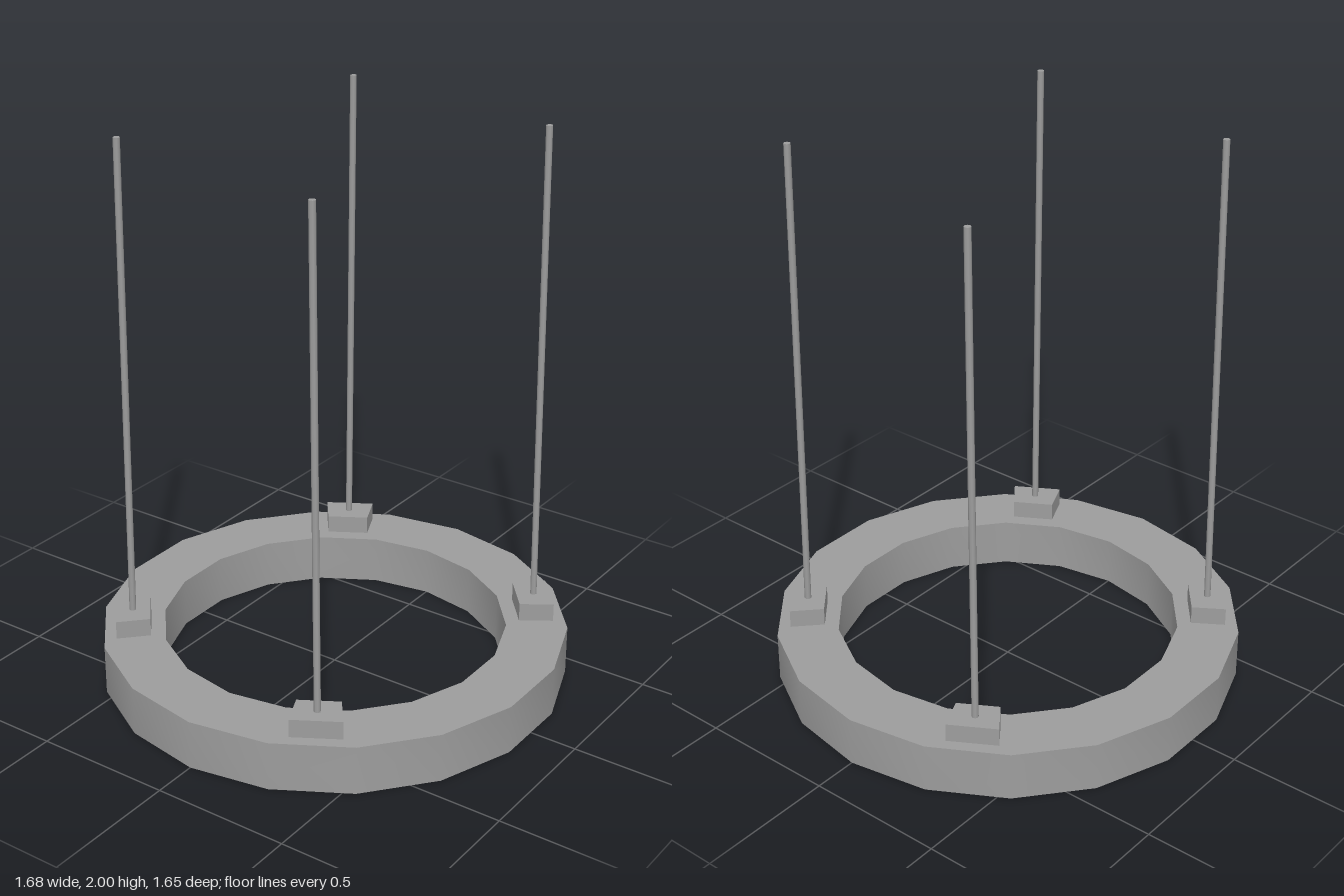
import * as THREE from 'three';
import { toCreasedNormals } from 'three/addons/utils/BufferGeometryUtils.js';

const SIDES = 18, RING_TOP = 0.18, BLOCK_TOP = 0.247, TOP = 2;
const rad = THREE.MathUtils.degToRad;

export function createModel() {
  const model = new THREE.Group();
  const material = new THREE.MeshStandardMaterial({ color: 0x9d9d9d });
  const add = (name, geometry) => {
    const mesh = new THREE.Mesh(geometry, material);
    mesh.name = name;
    model.add(mesh);
    return mesh;
  };

  // Ring body with a shallow recess underneath; smooth walls, sharp edges
  const profile = [
    [0.84, 0], [0.84, RING_TOP], [0.62, RING_TOP], [0.62, 0],
    [0.645, 0], [0.645, 0.02], [0.81, 0.02], [0.81, 0], [0.84, 0],
  ].map(([r, y]) => new THREE.Vector2(r, y));
  const ring = new THREE.LatheGeometry(profile, SIDES, Math.PI / 2);
  add('ring', toCreasedNormals(ring, rad(35)));

  // Mounting blocks and suspension cables, spaced in opposite pairs
  const mounts = [
    { angle: 30.7, sx: 1, sz: -1, top: [0.616, 0.352] },
    { angle: 50.4, sx: -1, sz: -1, top: [0.46, 0.537] },
    { angle: 30.7, sx: -1, sz: 1, top: [0.614, 0.352] },
    { angle: 50.1, sx: 1, sz: 1, top: [0.464, 0.537] },
  ];
  for (const { angle, sx, sz, top } of mounts) {
    const a = rad(angle), dx = Math.cos(a) * sx, dz = Math.sin(a) * sz;

    // Wedge-shaped block following the ring's radial lines
    const half = rad(6.55), shape = new THREE.Shape();
    const corner = (r, t) => new THREE.Vector2(r * Math.cos(t), r * Math.sin(t));
    shape.setFromPoints([corner(0.667, -half), corner(0.79, -half), corner(0.79, half), corner(0.667, half)]);
    const block = new THREE.ExtrudeGeometry(shape, { depth: BLOCK_TOP - RING_TOP, bevelEnabled: false });
    block.rotateX(-Math.PI / 2);
    const mount = add('mountingBlock', block);
    mount.position.y = RING_TOP;
    mount.rotation.y = Math.atan2(-dz, dx);

    // Cable leaning slightly inward: a cylinder sheared along its height
    const foot = new THREE.Vector3(dx * 0.726, BLOCK_TOP, dz * 0.726);
    const height = TOP - BLOCK_TOP;
    const cable = new THREE.CylinderGeometry(0.012, 0.012, height, 8);
    cable.translate(0, height / 2, 0);
    cable.applyMatrix4(new THREE.Matrix4().makeShear(
      0, 0, (top[0] * sx - foot.x) / height, (top[1] * sz - foot.z) / height, 0, 0));
    add('cable', cable).position.copy(foot);
  }
  return model;
}
